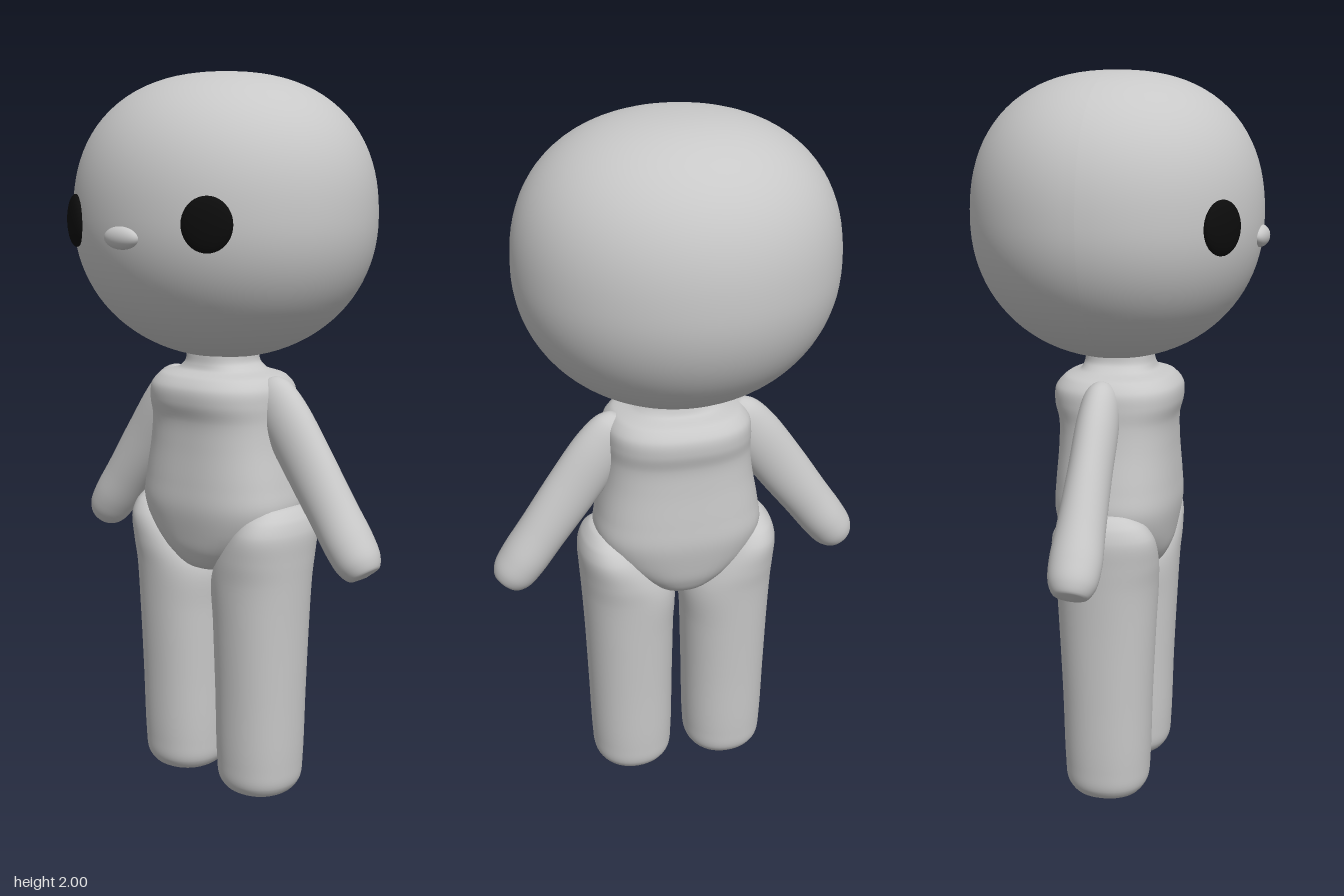
import * as THREE from 'three';

const skin = new THREE.MeshStandardMaterial({ name: 'skinGrey', color: 0xc8c8c8 });
const black = new THREE.MeshStandardMaterial({ name: 'eyeBlack', color: 0x0c0c0c });

// Smooth closed loft, top to bottom. Each section: [y, centreX, halfWidth, halfDepth]
function loft(sections, power = 2, rows = 60, cols = 48) {
  const spine = new THREE.CatmullRomCurve3(sections.map(([y, x]) => new THREE.Vector3(x, y, 0)));
  const sizes = new THREE.CatmullRomCurve3(sections.map(([y, , a, b]) => new THREE.Vector3(a, y, b)));
  const pos = [], index = [];
  for (let i = 0; i <= rows; i++) {
    const c = spine.getPoint(i / rows), s = sizes.getPoint(i / rows);
    for (let j = 0; j < cols; j++) {
      const t = (j / cols) * Math.PI * 2, u = Math.cos(t), v = Math.sin(t);
      const k = Math.pow(Math.abs(u) ** power + Math.abs(v) ** power, -1 / power);
      pos.push(c.x + u * k * s.x, c.y, v * k * s.z);
      if (i < rows) {
        const n = (j + 1) % cols, a = i * cols, b = a + cols;
        index.push(a + j, a + n, b + j, a + n, b + n, b + j);
      }
    }
  }
  const g = new THREE.BufferGeometry();
  g.setAttribute('position', new THREE.Float32BufferAttribute(pos, 3));
  g.setIndex(index);
  g.computeVertexNormals();
  return g;
}

// Ellipsoid whose crown is a little squarer than its chin
function headGeometry() {
  const g = new THREE.SphereGeometry(1, 72, 48), p = g.attributes.position;
  for (let i = 0; i < p.count; i++) {
    const x = p.getX(i), y = p.getY(i), z = p.getZ(i);
    const n = y > 0 ? 2.35 : 2.08, r = Math.hypot(x, z);
    const k = Math.pow(r ** n + Math.abs(y) ** n, -1 / n);
    p.setXYZ(i, x * k * 0.43, y * k * (y > 0 ? 0.385 : 0.38), z * k * 0.395);
  }
  g.computeVertexNormals();
  return g;
}

export function createModel() {
  const model = new THREE.Group();
  model.name = 'figure';
  const add = (name, geometry, material, x, y, z) => {
    const mesh = new THREE.Mesh(geometry, material);
    mesh.name = name;
    mesh.position.set(x, y, z);
    model.add(mesh);
    return mesh;
  };

  add('head', headGeometry(), skin, 0, 1.615, -0.01);
  add('nose', new THREE.SphereGeometry(1, 32, 20), skin, 0, 1.573, 0.378).scale.set(0.06, 0.03, 0.026);

  // Neck, shoulder yoke, waist and pointed seat
  add('torso', loft([
    [1.27, 0, 0, 0], [1.265, 0, 0.09, 0.085], [1.225, 0, 0.1, 0.095], [1.205, 0, 0.125, 0.105],
    [1.19, 0, 0.175, 0.145], [1.16, 0, 0.2, 0.17], [1.12, 0, 0.205, 0.172], [1.07, 0, 0.205, 0.16],
    [1.0, 0, 0.212, 0.16], [0.9, 0, 0.23, 0.167], [0.83, 0, 0.238, 0.17], [0.76, 0, 0.21, 0.16],
    [0.7, 0, 0.15, 0.145], [0.65, 0, 0.08, 0.11], [0.62, 0, 0, 0],
  ], 2.5, 90), skin, 0, 0, -0.003);

  const armGeometry = loft([
    [0.06, 0, 0, 0], [0.05, 0, 0.035, 0.026], [0.02, 0, 0.06, 0.045], [-0.05, 0, 0.075, 0.055],
    [-0.2, 0, 0.076, 0.058], [-0.35, 0, 0.07, 0.064], [-0.45, 0, 0.067, 0.069],
    [-0.505, 0, 0.06, 0.062], [-0.535, 0, 0.042, 0.043], [-0.542, 0, 0, 0],
  ]);

  for (const [side, s] of [['left', 1], ['right', -1]]) {
    add(side + 'Arm', armGeometry, skin, s * 0.185, 1.135, -0.01).rotation.z = s * 0.62;

    // Leg, its hip leaning outward at the top
    add(side + 'Leg', loft([
      [0.848, 0.21, 0, 0], [0.838, 0.21, 0.04, 0.07], [0.81, 0.205, 0.07, 0.115],
      [0.77, 0.195, 0.092, 0.14], [0.7, 0.167, 0.118, 0.146], [0.63, 0.147, 0.134, 0.142],
      [0.5, 0.145, 0.13, 0.135], [0.3, 0.144, 0.125, 0.126], [0.1, 0.143, 0.12, 0.12],
      [0.04, 0.143, 0.114, 0.114], [0.012, 0.143, 0.095, 0.095], [0.002, 0.143, 0.07, 0.07], [0, 0.143, 0, 0],
    ].map(([y, x, a, b]) => [y, s * x, a, b]), 2.15, 72), skin, 0, 0, -0.003);

    // Flattened eye lying on the curve of the face
    const eye = add(side + 'Eye', new THREE.SphereGeometry(1, 36, 20), black, s * 0.238, 1.61, 0.318);
    eye.scale.set(0.066, 0.07, 0.022);
    eye.rotation.y = s * 0.55;
  }
  return model;
}
